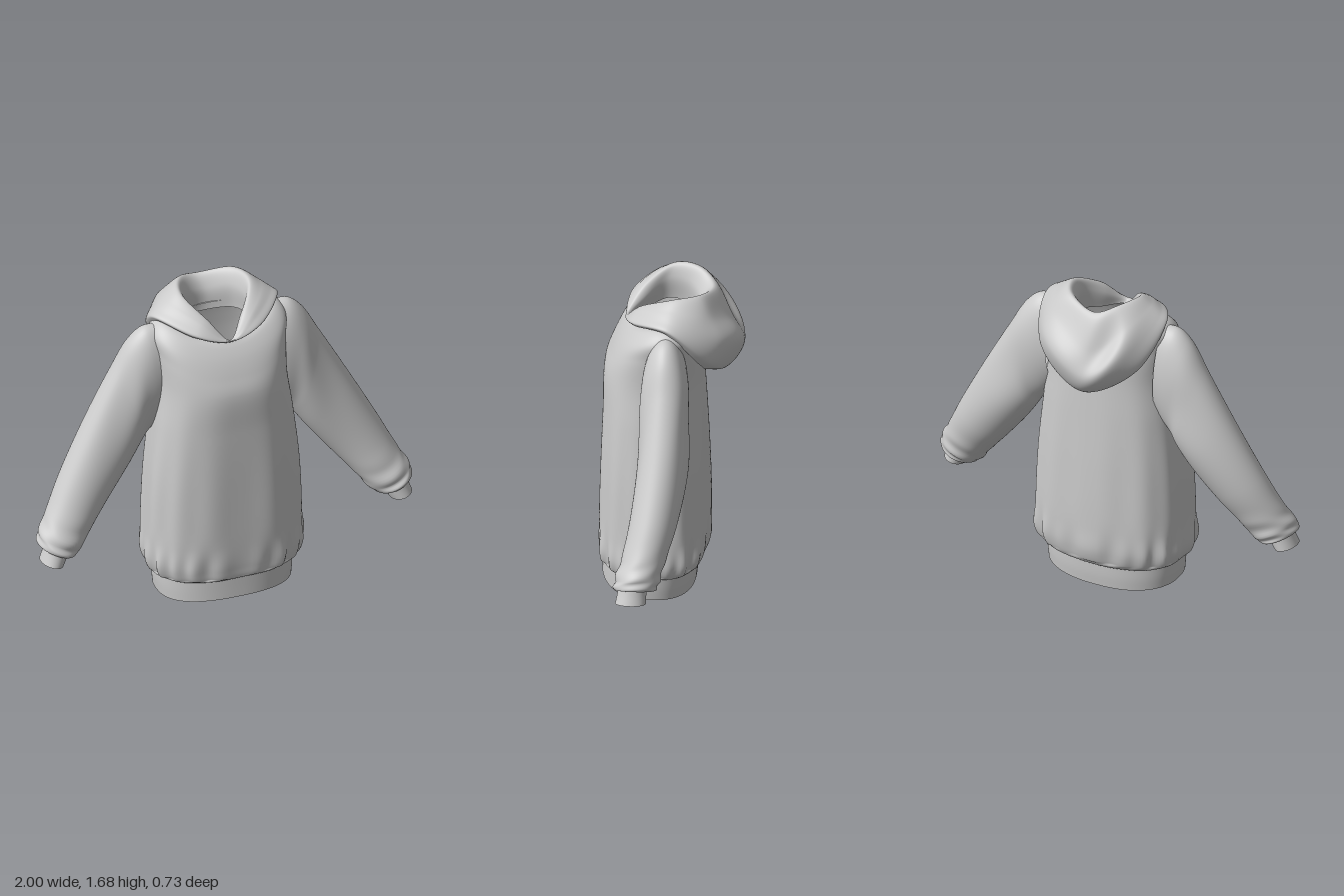
import * as THREE from 'three';

const material = new THREE.MeshStandardMaterial({ color: 0xcccccc, roughness: 0.8, side: THREE.DoubleSide });
const V = (x, y, z) => new THREE.Vector3(x, y, z);
const bump = (t, centre, width) => Math.exp(-(((t - centre) / width) ** 2));

// Smooth skin through closed rings of equal point count; warp(point, angle, v) adds cloth folds.
function loft(name, rings, steps, warp) {
  const n = rings[0].length;
  const position = [], index = [];
  const columns = rings[0].map((_, i) => new THREE.CatmullRomCurve3(rings.map((r) => r[i])));
  for (let j = 0; j <= steps; j++) {
    for (let i = 0; i < n; i++) {
      const p = columns[i].getPoint(j / steps);
      if (warp) warp(p, (i / n) * Math.PI * 2, j / steps);
      position.push(p.x, p.y, p.z);
      if (j < steps) {
        const a = j * n + i, b = j * n + ((i + 1) % n);
        index.push(a, a + n, b, b, a + n, b + n);
      }
    }
  }
  const geometry = new THREE.BufferGeometry();
  geometry.setAttribute('position', new THREE.Float32BufferAttribute(position, 3));
  geometry.setIndex(index);
  geometry.computeVertexNormals();
  const mesh = new THREE.Mesh(geometry, material);
  mesh.name = name;
  return mesh;
}

// Torso ring: heights at side, front and back, half width, front z, back z, side z, squareness.
function torsoRing([ySide, yFront, yBack, half, zFront, zBack, zSide, power]) {
  return Array.from({ length: 144 }, (_, i) => {
    const a = (i / 144) * Math.PI * 2, c = Math.cos(a), s = Math.sin(a);
    const round = (t) => Math.sign(t) * Math.abs(t) ** (2 / power);
    const y = ySide + s * s * ((s > 0 ? yFront : yBack) - ySide);
    return V(half * round(c), y, zSide + round(s) * (s > 0 ? zFront - zSide : zSide - zBack));
  });
}

// Sleeve ring spanning from outer to inner edge, with centre and half depth in z.
function sleeveRing([ox, oy, ix, iy, z, depth]) {
  return Array.from({ length: 64 }, (_, i) => {
    const a = (i / 64) * Math.PI * 2, t = Math.cos(a) / 2;
    return V((ox + ix) / 2 + t * (ox - ix), (oy + iy) / 2 + t * (oy - iy), z - Math.sin(a) * depth);
  });
}

// Hood ring from five stations, front to back, mirrored across x.
function hoodRing(stations) {
  const pts = stations.map((s) => V(...s));
  const mirrored = pts.slice(1, 4).map((p) => V(-p.x, p.y, p.z));
  const curve = new THREE.CatmullRomCurve3([pts[0], ...mirrored, pts[4], pts[3], pts[2], pts[1]], true);
  return Array.from({ length: 112 }, (_, i) => curve.getPoint(i / 112));
}

export function createModel() {
  const model = new THREE.Group();
  model.name = 'hoodedSweatshirt';

  // Torso, gathered above the hem and closing over the shoulders to the neck
  const torso = [
    [0.145, 0.155, 0.125, 0.355, 0.345, -0.125, 0.1, 2.4],
    [0.16, 0.16, 0.145, 0.385, 0.362, -0.155, 0.1, 2.5],
    [0.22, 0.22, 0.22, 0.408, 0.37, -0.178, 0.1, 2.6],
    [0.36, 0.36, 0.36, 0.405, 0.37, -0.185, 0.1, 2.6],
    [0.7, 0.7, 0.7, 0.39, 0.362, -0.178, 0.1, 2.6],
    [1.0, 1.0, 1.0, 0.36, 0.352, -0.165, 0.09, 2.6],
    [1.22, 1.22, 1.2, 0.335, 0.343, -0.155, 0.07, 2.5],
    [1.4, 1.31, 1.36, 0.345, 0.31, -0.15, 0.04, 2.4],
    [1.5, 1.39, 1.47, 0.355, 0.27, -0.14, 0.02, 2.2],
    [1.55, 1.44, 1.5, 0.3, 0.235, -0.13, 0.02, 2],
    [1.53, 1.465, 1.5, 0.2, 0.212, -0.12, 0.03, 2],
  ].map(torsoRing);
  model.add(loft('torso', torso, 90, (p, a) => {
    const gathers = 0.022 * bump(p.y, 0.22, 0.1) * (Math.sin(19 * a) + 0.7 * Math.sin(12 * a + 1));
    const drape = 0.012 * bump(p.y, 0.55, 0.45) * (Math.sin(11 * a + 0.6) + 0.6 * Math.sin(7 * a));
    const k = 1 + (p.y > 0.165 ? gathers : 0) + drape;
    p.x *= k;
    p.z = 0.09 + (p.z - 0.09) * k;
  }));

  // Ribbed hem band, open below
  model.add(loft('hemBand', [
    [0.025, 0.045, 0.002, 0.352, 0.355, -0.12, 0.1, 2.4],
    [0.09, 0.1, 0.065, 0.358, 0.352, -0.127, 0.1, 2.4],
    [0.155, 0.165, 0.135, 0.36, 0.349, -0.13, 0.1, 2.4],
  ].map(torsoRing), 8));

  // Sleeves with loose underarms, blousing over narrow open cuffs
  const sleeve = [
    [0.32, 1.53, 0.29, 1.02, 0.02, 0.11],
    [0.39, 1.525, 0.33, 0.97, 0.02, 0.118],
    [0.46, 1.465, 0.375, 0.92, 0.018, 0.122],
    [0.55, 1.31, 0.405, 0.87, 0.015, 0.125],
    [0.7, 1.04, 0.47, 0.775, 0.025, 0.128],
    [0.85, 0.76, 0.6, 0.61, 0.06, 0.12],
    [0.935, 0.59, 0.7, 0.49, 0.1, 0.112],
    [0.985, 0.5, 0.775, 0.395, 0.13, 0.112],
    [0.995, 0.45, 0.815, 0.368, 0.14, 0.105],
    [0.962, 0.435, 0.84, 0.385, 0.15, 0.072],
  ].map(sleeveRing);
  const cuff = [
    [0.957, 0.46, 0.835, 0.41, 0.15, 0.07],
    [0.972, 0.41, 0.855, 0.365, 0.155, 0.073],
    [0.99, 0.36, 0.875, 0.33, 0.16, 0.077],
  ].map(sleeveRing);
  for (const [side, sign] of [['left', 1], ['right', -1]]) {
    const arm = new THREE.Group();
    arm.name = side + 'Arm';
    arm.add(loft(side + 'Sleeve', sleeve, 72, (p, a, v) => {
      const wrinkle = bump(v, 0.78, 0.1) * Math.sin(v * 60 + 2 * Math.sin(a));
      const underarm = bump(v, 0.35, 0.15) * Math.sin(3 * a + v * 12);
      p.z += 0.007 * Math.sin(a) * (wrinkle + underarm);
      p.x += 0.005 * Math.cos(a) * wrinkle;
    }));
    arm.add(loft(side + 'Cuff', cuff, 8));
    arm.scale.x = sign;
    model.add(arm);
  }

  // Lowered hood: seam, outer roll, hanging bag, crest, then down inside the neck
  const hood = [
    [[0, 1.472, 0.228], [0.17, 1.51, 0.19], [0.32, 1.55, 0.02], [0.25, 1.34, -0.145], [0, 1.2, -0.16]],
    [[0, 1.48, 0.238], [0.175, 1.53, 0.205], [0.335, 1.57, 0.01], [0.265, 1.36, -0.2], [-0.01, 1.215, -0.28]],
    [[0, 1.485, 0.238], [0.155, 1.56, 0.185], [0.3, 1.6, 0], [0.235, 1.47, -0.24], [-0.04, 1.35, -0.37]],
    [[0, 1.485, 0.232], [0.135, 1.58, 0.17], [0.25, 1.635, 0], [0.2, 1.58, -0.2], [-0.04, 1.47, -0.285]],
    [[0, 1.485, 0.226], [0.1, 1.585, 0.15], [0.185, 1.67, 0], [0.14, 1.675, -0.13], [-0.03, 1.635, -0.2]],
    [[0, 1.48, 0.22], [0.08, 1.54, 0.14], [0.155, 1.6, 0.03], [0.12, 1.6, -0.085], [0, 1.57, -0.14]],
    [[0, 1.465, 0.21], [0.095, 1.46, 0.14], [0.165, 1.48, 0.03], [0.13, 1.47, -0.08], [0, 1.46, -0.12]],
  ].map(hoodRing);
  model.add(loft('hood', hood, 60, (p, a, v) => {
    // soft diagonal folds across the hanging back
    const back = bump(a, Math.PI, 0.9) * bump(v, 0.42, 0.2);
    p.z += 0.016 * back * Math.sin(5 * a + v * 14);
    p.y += 0.008 * back * Math.cos(4 * a + v * 10);
  }));

  return model;
}
